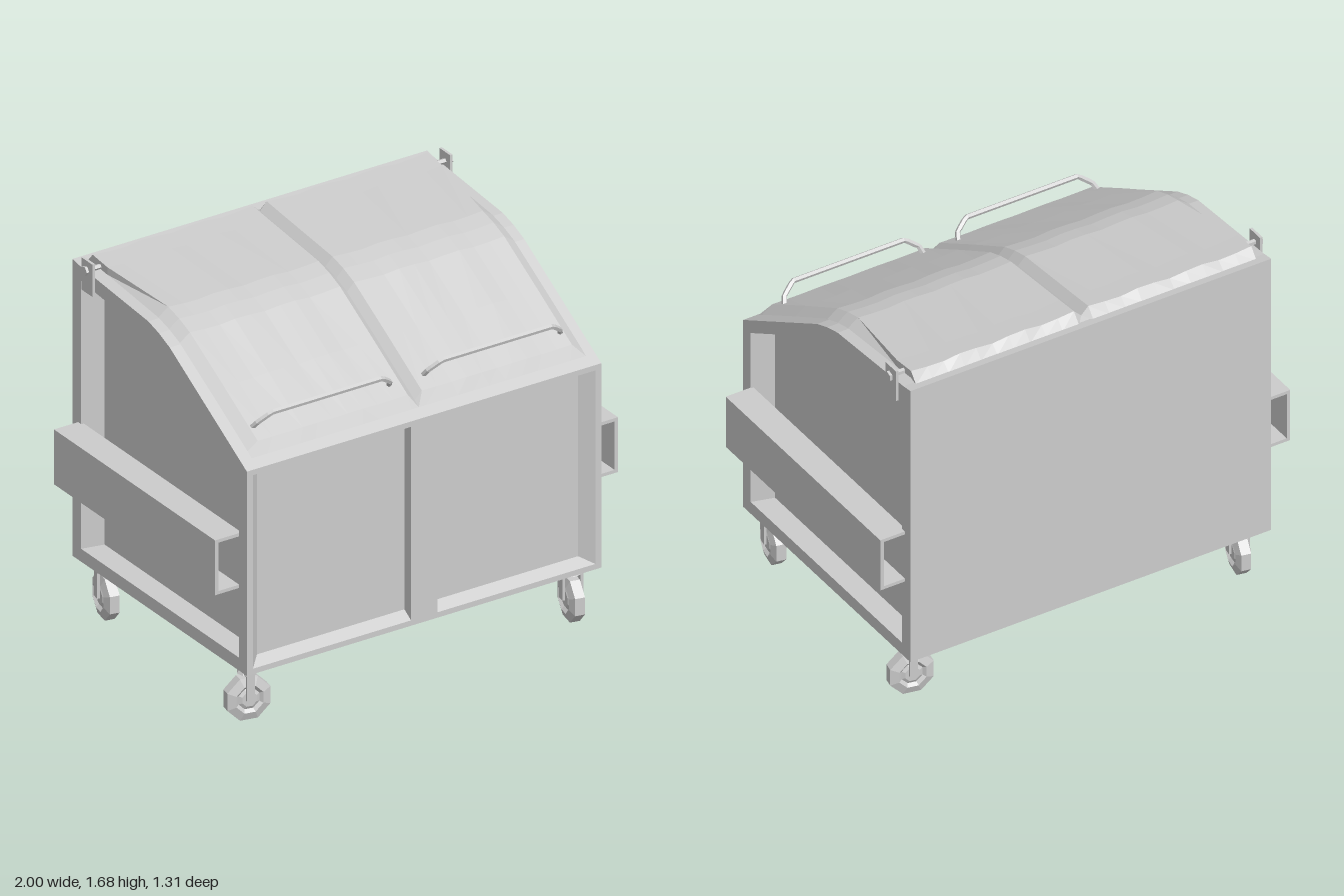
import * as THREE from 'three';

const mat = new THREE.MeshStandardMaterial({ color: 0xcccccc, flatShading: true, side: THREE.DoubleSide });

function add(parent, name, geo, x = 0, y = 0, z = 0) {
  const m = new THREE.Mesh(geo, mat);
  m.name = name;
  m.position.set(x, y, z);
  parent.add(m);
  return m;
}

// Surface through rows of [x, y, z] points
function loft(rows) {
  const n = rows[0].length, index = [];
  for (let i = 0; i < rows.length - 1; i++)
    for (let j = 0; j < n - 1; j++) {
      const a = i * n + j, b = a + n;
      index.push(a, b, a + 1, b, b + 1, a + 1);
    }
  const g = new THREE.BufferGeometry();
  g.setAttribute('position', new THREE.Float32BufferAttribute(rows.flat(2), 3));
  g.setIndex(index);
  const flat = g.toNonIndexed();
  flat.computeVertexNormals();
  return flat;
}

const shapeOf = pts => new THREE.Shape(pts.map(p => new THREE.Vector2(...p)));
const rect = (x0, y0, x1, y1) => [[x0, y0], [x1, y0], [x1, y1], [x0, y1]];

// Flat frame with sunken panels; each recess is [rim outline, floor outline]
function sunkenFace(name, outline, recesses, depth) {
  const g = new THREE.Group();
  g.name = name;
  const face = shapeOf(outline);
  for (const [rim, floor] of recesses) {
    face.holes.push(shapeOf(rim));
    const ring = (pts, z) => [...pts, pts[0]].map(([x, y]) => [x, y, z]);
    add(g, 'recessWall', loft([ring(floor, -depth), ring(rim, 0)]));
    add(g, 'recessPanel', new THREE.ShapeGeometry(shapeOf(floor)), 0, 0, -depth);
  }
  add(g, 'frame', new THREE.ShapeGeometry(face));
  return g;
}

// Lid half: bevelled rim, slight ripples, curved over the sloping top
function lidGeometry() {
  // z, top y, outer x of the upper surface, ripple depth
  const stations = [
    [0.575, 1.285, 0.78, 0.002], [0.32, 1.432, 0.78, 0.006], [0.07, 1.572, 0.78, 0.008],
    [-0.01, 1.602, 0.78, 0.008], [-0.09, 1.622, 0.78, 0.008], [-0.47, 1.657, 0.83, 0.012], [-0.58, 1.668, 0.83, 0.012]];
  const cols = 10;
  const row = ([z, y, xo, ripple], drop = 0) => {
    const pts = [[0.83, y - 0.035, z]];
    for (let i = 0; i <= cols; i++) {
      const x = xo + (0.035 - xo) * i / cols;
      pts.push([x, y - drop - ripple * (0.5 - 0.5 * Math.cos(i * 1.9)), z]);
    }
    pts.push([0, y - 0.035, z]);
    return pts;
  };
  const edge = (z, y) => row([z, y, 0.83, 0]).map(([x]) => [x, y, z]);
  return loft([edge(0.605, 1.23), ...stations.map(s => row(s)), edge(-0.62, 1.62)]);
}

function caster(x, z, turn) {
  const g = new THREE.Group();
  g.name = 'caster';
  g.position.set(x, 0, z);
  g.rotation.y = turn;
  // Eight-sided wheel with a stepped hub, axle along local x
  const profile = [[0, -0.03], [0.035, -0.03], [0.05, -0.022], [0.065, -0.035], [0.104, -0.022],
    [0.104, 0.022], [0.065, 0.035], [0.05, 0.022], [0.035, 0.03], [0, 0.03]];
  const wheel = add(g, 'wheel', new THREE.LatheGeometry(profile.map(p => new THREE.Vector2(...p)), 8), 0, 0.1, 0);
  wheel.rotation.set(Math.PI / 8, 0, Math.PI / 2);
  // Fork: two arms under a tapered crown
  for (const s of [-1, 1]) add(g, 'forkArm', new THREE.BoxGeometry(0.012, 0.13, 0.036), s * 0.041, 0.165, 0);
  add(g, 'forkBridge', new THREE.BoxGeometry(0.09, 0.012, 0.05), 0, 0.222, 0);
  add(g, 'forkCrown', new THREE.CylinderGeometry(0.018, 0.045, 0.04, 8), 0, 0.235, 0);
  return g;
}

export function createModel() {
  const model = new THREE.Group();
  model.name = 'wheeledContainer';

  // Body wrap: sloping top, back and bottom
  const profile = [[0.645, 0.25], [0.645, 1.2], [0.07, 1.53], [-0.01, 1.562], [-0.09, 1.583],
    [-0.6, 1.622], [-0.655, 1.63], [-0.655, 0.25]];
  const wrap = [...profile.slice(1), profile[0]];
  add(model, 'bodyShell', loft([-0.88, 0.88].map(x => wrap.map(([z, y]) => [x, y, z]))));

  // Front with two sunken panels
  const mirror = pts => pts.map(([x, y]) => [-x, y]);
  const rim = rect(0.065, 0.275, 0.85, 1.175), floor = rect(0.065, 0.305, 0.797, 1.15);
  const front = sunkenFace('frontFace', rect(-0.88, 0.25, 0.88, 1.2),
    [[rim, floor], [mirror(rim), mirror(floor)]], 0.05);
  front.position.z = 0.645;
  model.add(front);

  const sideRim = [[0.585, 0.31], [0.585, 1.17], [0.07, 1.465], [-0.01, 1.495], [-0.09, 1.515], [-0.59, 1.555], [-0.59, 0.31]];
  const sideFloor = [[0.555, 0.312], [0.555, 1.15], [0.06, 1.435], [-0.02, 1.465], [-0.1, 1.48], [-0.565, 1.525], [-0.565, 0.312]];

  for (const s of [1, -1]) {
    const half = new THREE.Group();
    half.name = s > 0 ? 'leftHalf' : 'rightHalf';
    half.scale.x = s;
    model.add(half);

    // Side with one sunken panel, drawn in (-z, y)
    const side = sunkenFace('sideFace', mirror(profile), [[mirror(sideRim), mirror(sideFloor)]], 0.1);
    side.rotation.y = Math.PI / 2;
    side.position.x = 0.88;
    half.add(side);

    // Hollow lifting pocket, open at both ends
    const pocket = shapeOf(rect(0.868, 0.635, 1, 0.89));
    pocket.holes.push(shapeOf(rect(0.88, 0.65, 0.983, 0.875)));
    add(half, 'forkPocket', new THREE.ExtrudeGeometry(pocket, { depth: 1.2, bevelEnabled: false }), 0, 0, -0.612);

    add(half, 'lid', lidGeometry());

    // Lid handle
    const path = new THREE.CurvePath();
    const pts = [[0.085, 1.315, 0.508], [0.095, 1.345, 0.53], [0.15, 1.385, 0.553],
      [0.695, 1.385, 0.553], [0.75, 1.345, 0.53], [0.765, 1.315, 0.508]].map(p => new THREE.Vector3(...p));
    for (let i = 0; i < pts.length - 1; i++) path.add(new THREE.LineCurve3(pts[i], pts[i + 1]));
    add(half, 'lidHandle', new THREE.TubeGeometry(path, 40, 0.012, 5));

    // Hinge plate with bolt
    add(half, 'hingePlate', new THREE.BoxGeometry(0.012, 0.15, 0.08), 0.888, 1.605, -0.525);
    add(half, 'hingePin', new THREE.CylinderGeometry(0.012, 0.012, 0.08, 5), 0.865, 1.638, -0.525).rotation.z = Math.PI / 2;
    add(half, 'hingeBolt', new THREE.CylinderGeometry(0.022, 0.022, 0.012, 5), 0.904, 1.638, -0.525).rotation.z = Math.PI / 2;
  }

  // Swivel casters, each pair turned differently
  const a = -0.2, b = Math.PI / 2 - 0.2;
  model.add(caster(0.79, 0.555, a), caster(-0.82, 0.555, b), caster(0.8, -0.525, b), caster(-0.8, -0.525, a));
  return model;
}
